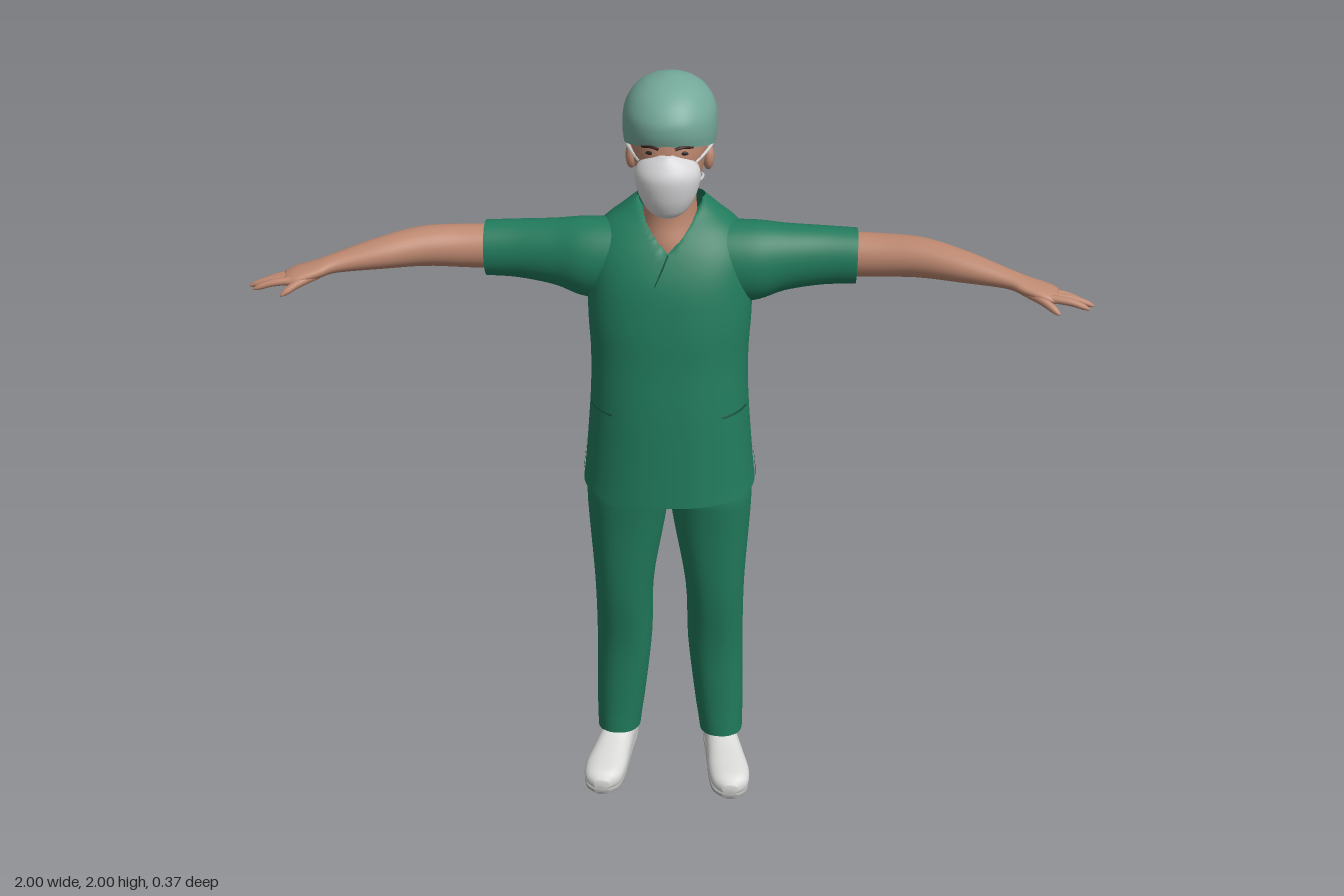
import * as THREE from 'three';

const mat = (name, color, side = THREE.FrontSide) => {
  const m = new THREE.MeshStandardMaterial({ color, side });
  m.name = name;
  return m;
};

// Signed power used for rounded-square cross-sections
const sq = (c, n) => Math.sign(c) * Math.pow(Math.abs(c), 2 / n);

// Smooth Catmull-Rom refinement of a list of parameter rows
function refine(rows, steps) {
  const out = [];
  const at = i => rows[Math.max(0, Math.min(rows.length - 1, i))];
  for (let i = 0; i < rows.length - 1; i++) {
    for (let s = 0; s < steps; s++) {
      const t = s / steps, [a, b, c, d] = [at(i - 1), at(i), at(i + 1), at(i + 2)];
      out.push(b.map((_, k) => 0.5 * (2 * b[k] + (c[k] - a[k]) * t
        + (2 * a[k] - 5 * b[k] + 4 * c[k] - d[k]) * t * t
        + (3 * b[k] - a[k] - 3 * c[k] + d[k]) * t * t * t)));
    }
  }
  out.push(rows[rows.length - 1]);
  return out;
}

// Skin rings { c, u, v, n } into a closed tube; u x v points against the path
function loft(rings, { seg = 32, start = true, end = true, rule } = {}) {
  const pos = [], idx = [];
  for (const { c, u, v, n } of rings) {
    for (let j = 0; j < seg; j++) {
      const th = j / seg * Math.PI * 2, a = sq(Math.cos(th), n), b = sq(Math.sin(th), n);
      const p = c.map((q, k) => q + u[k] * a + v[k] * b);
      pos.push(...(rule ? rule(p) : p));
    }
  }
  for (let i = 0; i < rings.length - 1; i++) {
    for (let j = 0; j < seg; j++) {
      const a = i * seg + j, b = i * seg + (j + 1) % seg;
      idx.push(a, a + seg, b, b, a + seg, b + seg);
    }
  }
  const cap = (i, flip) => {
    const m = pos.length / 3;
    pos.push(...rings[i].c);
    for (let j = 0; j < seg; j++) {
      const a = i * seg + j, b = i * seg + (j + 1) % seg;
      idx.push(m, flip ? b : a, flip ? a : b);
    }
  };
  if (start) cap(0, false);
  if (end) cap(rings.length - 1, true);
  const g = new THREE.BufferGeometry();
  g.setAttribute('position', new THREE.Float32BufferAttribute(pos, 3));
  g.setIndex(idx);
  g.computeVertexNormals();
  return g;
}

// Upright body: rows of y, xMin, xMax, zFront, zBack, tilt
const upright = (rows, n = 2, opt = {}) => loft(refine(rows, 5).map(([y, x0, x1, f, b, tilt]) => ({
  c: [(x0 + x1) / 2, y, (f + b) / 2], u: [(x1 - x0) / 2, 0, 0], v: [0, tilt, (f - b) / 2], n })), opt);
// Symmetric upright body: rows of y, halfWidth, zFront, zBack, tilt
const sym = (rows, n, opt) => upright(rows.map(([y, w, f, b, t = 0]) => [y, -w, w, f, b, t]), n, opt);
// Sideways limb: rows of x, y, z, radiusZ, radiusY, yaw
const limb = (rows, opt) => loft(refine(rows, 5).map(([x, y, z, rz, ry, w]) => ({
  c: [x, y, z], u: [-Math.sin(w) * rz, 0, Math.cos(w) * rz], v: [0, ry, 0], n: 2 })), opt);
// Shoe: rows of z, x, halfWidth, yLow, yHigh
const lengthwise = (rows, n) => loft(refine(rows, 5).map(([z, x, w, lo, hi]) => ({
  c: [x, (lo + hi) / 2, z], u: [0, (hi - lo) / 2, 0], v: [w, 0, 0], n })));

const tube = (pts, r) => new THREE.TubeGeometry(
  new THREE.CatmullRomCurve3(pts.map(p => new THREE.Vector3(...p))), 20, r, 6);

function mirrored(geo) {
  const g = geo.clone().scale(-1, 1, 1), ix = g.index.array;
  for (let i = 0; i < ix.length; i += 3) [ix[i], ix[i + 1]] = [ix[i + 1], ix[i]];
  g.computeVertexNormals();
  return g;
}

export function createModel() {
  const group = new THREE.Group();
  group.name = 'surgeon';
  const scrub = mat('scrubGreen', 0x217a5c, THREE.DoubleSide);
  const seam = mat('seamGreen', 0x14503d, THREE.DoubleSide);
  const capMat = mat('capTeal', 0x74a899, THREE.DoubleSide);
  const skin = mat('skin', 0xbd8870);
  const maskMat = mat('maskWhite', 0xd6d6d8);
  const shoeMat = mat('shoeWhite', 0xd8d8d6);
  const soleMat = mat('soleGrey', 0xa8a8a6);
  const hairMat = mat('hairBrown', 0x3a211d);
  const eyeMat = mat('eyeDark', 0x2a2020);

  const add = (name, geo, m) => {
    const mesh = new THREE.Mesh(geo, m);
    mesh.name = name;
    group.add(mesh);
  };
  const pair = (name, geo, m) => {
    add('left' + name, geo, m);
    add('right' + name, mirrored(geo), m);
  };

  // Tunic with a V cut into the front of the neckline
  const vNeck = ([x, y, z]) => (z > -0.05 && Math.abs(x) < 0.075
    ? [x, Math.min(y, 1.583 + Math.abs(x) * 1.25), z] : [x, y, z]);
  add('tunic', sym([
    [0.94, 0.22, 0.175, -0.17], [1.0, 0.213, 0.17, -0.168], [1.18, 0.198, 0.155, -0.16],
    [1.3, 0.195, 0.14, -0.158], [1.4, 0.2, 0.13, -0.162], [1.5, 0.2, 0.11, -0.162],
    [1.57, 0.195, 0.08, -0.155], [1.62, 0.165, 0.045, -0.145], [1.655, 0.12, 0.01, -0.13],
    [1.685, 0.082, -0.02, -0.115]], 2.3, { seg: 96, start: false, end: false, rule: vNeck }), scrub);
  add('frontSeam', tube([[0, 1.583, 0.072], [-0.014, 1.55, 0.09], [-0.03, 1.515, 0.103]], 0.002), seam);

  // Pocket edges and side slits
  const pocket = [];
  for (let i = 0; i <= 6; i++) {
    const a = 0.28 + i * 0.1;
    pocket.push([0.198 * sq(Math.cos(a), 2.3), 1.175, -0.0025 + 0.1575 * sq(Math.sin(a), 2.3)]);
  }
  pair('Pocket', tube(pocket, 0.003), seam);
  const slit = new THREE.BufferGeometry();
  slit.setAttribute('position', new THREE.Float32BufferAttribute(
    [0.223, 0.94, 0.0, 0.223, 0.94, -0.025, 0.213, 1.03, -0.01], 3));
  slit.setIndex([0, 1, 2]);
  slit.computeVertexNormals();
  pair('SideSlit', slit, seam);

  // Sleeves, arms and hands
  pair('Sleeve', limb([
    [0.08, 1.53, -0.03, 0.085, 0.1, 0], [0.2, 1.53, -0.033, 0.086, 0.1, 0],
    [0.28, 1.537, -0.042, 0.072, 0.083, 0], [0.37, 1.54, -0.05, 0.063, 0.073, 0],
    [0.45, 1.54, -0.05, 0.06, 0.069, 0]], { seg: 40, end: false }), scrub);
  pair('Arm', limb([
    [0.38, 1.543, -0.052, 0.05, 0.056, 0], [0.5, 1.547, -0.042, 0.052, 0.053, 0.15],
    [0.6, 1.553, -0.02, 0.051, 0.048, 0.35], [0.7, 1.549, 0.02, 0.043, 0.037, 0.4],
    [0.8, 1.539, 0.06, 0.03, 0.022, 0.35], [0.84, 1.53, 0.075, 0.036, 0.019, 0.3],
    [0.89, 1.52, 0.09, 0.041, 0.016, 0.25], [0.915, 1.513, 0.094, 0.036, 0.012, 0.2]]), skin);
  const digits = [
    ['LittleFinger', [0.88, 1.517, 0.06], [0.948, 1.49, 0.062], 0.008],
    ['RingFinger', [0.89, 1.517, 0.079], [0.983, 1.493, 0.083], 0.009],
    ['MiddleFinger', [0.89, 1.518, 0.1], [0.999, 1.497, 0.109], 0.0095],
    ['IndexFinger', [0.89, 1.518, 0.118], [0.984, 1.5, 0.134], 0.009],
    ['Thumb', [0.835, 1.525, 0.092], [0.915, 1.493, 0.152], 0.011]];
  for (const [name, a, b, r] of digits) {
    const yaw = Math.atan2(b[2] - a[2], b[0] - a[0]);
    pair(name, limb([[0, 1.1], [0.5, 1], [0.85, 0.8], [1, 0.25]].map(([t, k]) => [
      a[0] + (b[0] - a[0]) * t, a[1] + (b[1] - a[1]) * t + 0.02 * t * (1 - t),
      a[2] + (b[2] - a[2]) * t, r * k, r * k, yaw]), { seg: 12 }), skin);
  }

  // Trousers
  pair('TrouserLeg', upright([
    [0.075, 0.085, 0.205, 0.045, -0.128, 0.025], [0.12, 0.08, 0.205, 0.045, -0.13, 0.01],
    [0.2, 0.07, 0.205, 0.045, -0.125, 0], [0.4, 0.05, 0.2, 0.055, -0.12, 0],
    [0.6, 0.043, 0.2, 0.09, -0.12, 0], [0.8, 0.012, 0.21, 0.11, -0.125, 0],
    [0.88, 0, 0.213, 0.12, -0.13, 0], [0.93, -0.01, 0.21, 0.125, -0.13, 0],
    [1.02, -0.02, 0.19, 0.12, -0.13, 0]], 2.3, { seg: 40, start: false }), scrub);

  // Shoes and soles
  const shoe = [
    [-0.125, 0.137, 0.022, 0.02, 0.06], [-0.11, 0.138, 0.04, 0.008, 0.085], [-0.06, 0.14, 0.047, 0.006, 0.1],
    [0, 0.147, 0.046, 0.006, 0.112], [0.06, 0.16, 0.052, 0.006, 0.092], [0.12, 0.172, 0.057, 0.006, 0.076],
    [0.165, 0.177, 0.048, 0.006, 0.064], [0.188, 0.178, 0.02, 0.016, 0.045]];
  pair('Shoe', lengthwise(shoe, 2.4), shoeMat);
  pair('Sole', lengthwise(shoe.map(([z, x, w]) => [z, x, w * 0.96, 0, 0.016]), 4), soleMat);

  // Neck and head
  add('neck', sym([[1.55, 0.075, 0.062, -0.1], [1.6, 0.07, 0.06, -0.1], [1.65, 0.066, 0.046, -0.1],
    [1.7, 0.062, 0.045, -0.097], [1.78, 0.06, 0.05, -0.09]], 2), skin);
  add('head', sym([[1.695, 0.03, 0.085, 0], [1.72, 0.055, 0.1, -0.04], [1.76, 0.072, 0.113, -0.085],
    [1.81, 0.084, 0.117, -0.115], [1.86, 0.092, 0.114, -0.13], [1.92, 0.09, 0.1, -0.13],
    [1.96, 0.06, 0.06, -0.1]], 2.1), skin);
  add('hair', sym([[1.742, 0.05, -0.045, -0.106], [1.765, 0.076, -0.025, -0.117],
    [1.8, 0.09, -0.02, -0.126], [1.835, 0.1, 0.035, -0.138], [1.87, 0.1, 0.05, -0.14]], 2.2), hairMat);
  pair('Ear', new THREE.SphereGeometry(1, 16, 12).scale(0.014, 0.031, 0.02).translate(0.09, 1.8, -0.012), skin);
  pair('Eye', new THREE.SphereGeometry(1, 12, 8).scale(0.013, 0.005, 0.004).translate(0.036, 1.85, 0.104), eyeMat);
  pair('Eyebrow', tube([[0.018, 1.861, 0.112], [0.036, 1.865, 0.106], [0.058, 1.861, 0.091]], 0.004), hairMat);

  // Surgical cap with its tie
  add('cap', sym([[1.837, 0.106, 0.112, -0.14, 0.028], [1.875, 0.11, 0.117, -0.154, 0.015],
    [1.92, 0.106, 0.113, -0.152], [1.955, 0.088, 0.088, -0.13], [1.98, 0.058, 0.05, -0.09],
    [1.993, 0.022, 0.008, -0.045], [1.995, 0.005, -0.012, -0.025]], 2.1, { seg: 48, start: false }), capMat);
  pair('CapTie', tube([[0, 1.84, -0.148], [0.012, 1.865, -0.17], [0.018, 1.885, -0.18]], 0.004), capMat);
  pair('CapTieTail', tube([[0, 1.84, -0.148], [0.012, 1.815, -0.155], [0.016, 1.79, -0.163]], 0.004), capMat);

  // Face mask with straps knotted behind the neck
  add('mask', sym([[1.7, 0.028, 0.125, 0.075], [1.715, 0.048, 0.137, 0.05], [1.75, 0.068, 0.15, 0.02],
    [1.797, 0.076, 0.155, 0.015], [1.828, 0.058, 0.142, 0.03], [1.848, 0.018, 0.126, 0.08]], 2), maskMat);
  pair('UpperStrap', tube([[0.064, 1.82, 0.08], [0.084, 1.83, 0.045], [0.1, 1.842, 0.005], [0.1, 1.86, -0.04]], 0.004), maskMat);
  pair('LowerStrap', tube([[0.066, 1.765, 0.06], [0.076, 1.755, 0.01], [0.074, 1.742, -0.05],
    [0.045, 1.735, -0.095], [0, 1.735, -0.112]], 0.004), maskMat);
  pair('StrapBow', tube([[0, 1.735, -0.11], [0.022, 1.75, -0.125], [0.032, 1.737, -0.13],
    [0.015, 1.73, -0.12], [0.024, 1.71, -0.128]], 0.004), maskMat);

  return group;
}
